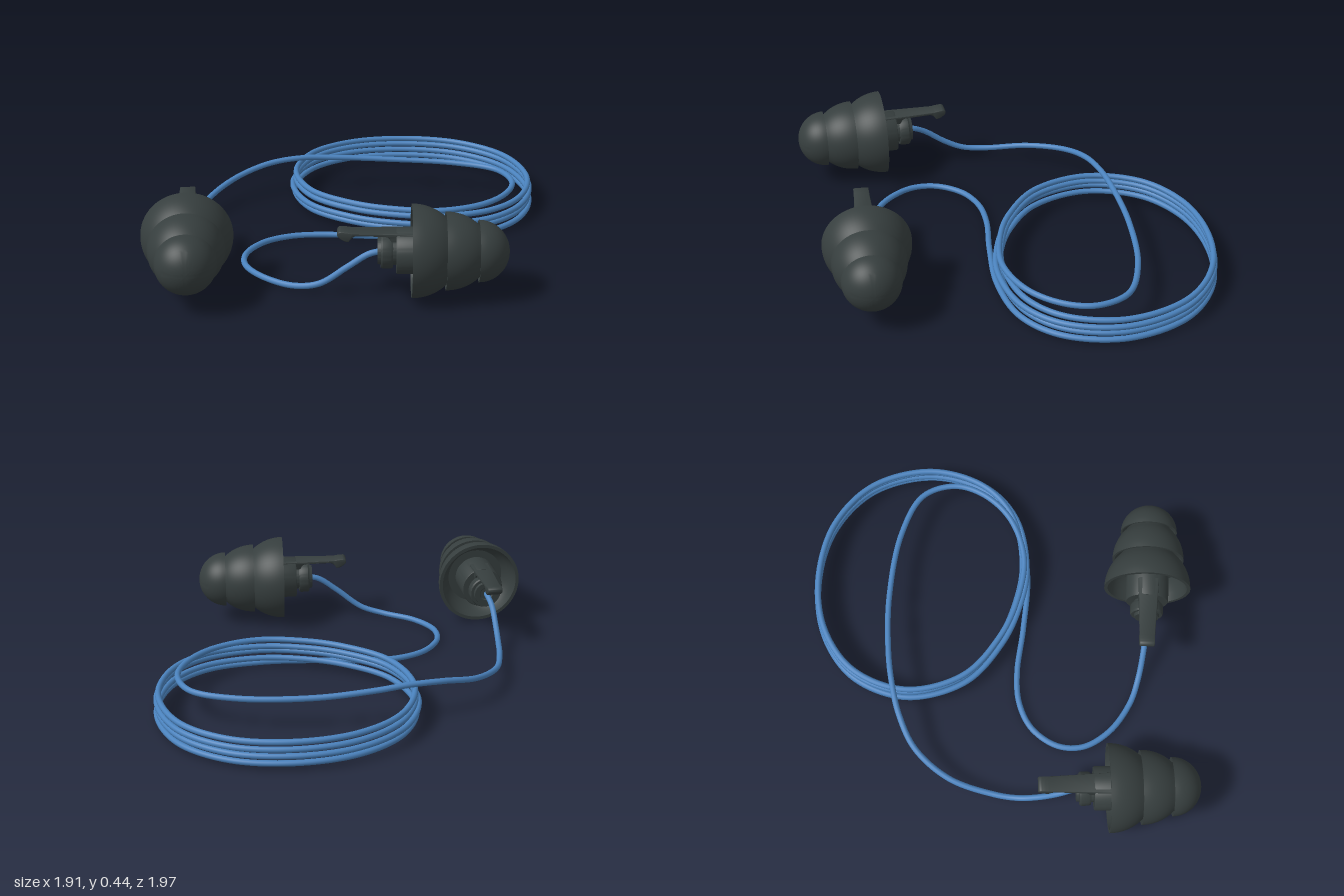
import * as THREE from 'three';
import { toCreasedNormals } from 'three/addons/utils/BufferGeometryUtils.js';

const rubber = new THREE.MeshStandardMaterial({ color: 0x363e3e, side: THREE.DoubleSide });
const blue = new THREE.MeshStandardMaterial({ color: 0x4a82bd });
const CORD_R = 0.0145;

function mesh(name, geometry, material) {
  const m = new THREE.Mesh(geometry, material);
  m.name = name;
  return m;
}

// Lathe whose axis runs along +x; points are [radius, x]
function latheX(points) {
  const g = new THREE.LatheGeometry(points.map(([r, h]) => new THREE.Vector2(r, h)), 64);
  g.rotateZ(-Math.PI / 2);
  return toCreasedNormals(g, 0.55);
}

// Outer curve of one flange, bulging from its lip to its narrow end
function dome(r0, r1, x0, x1, steps = 10) {
  const end = Math.acos(r1 / r0);
  return Array.from({ length: steps + 1 }, (_, i) => {
    const a = end * i / steps;
    return [Math.max(r0 * Math.cos(a), 0), x0 + (x1 - x0) * Math.sin(a) / Math.sin(end)];
  });
}

// Earplug pointing along +x, with its widest lip at x = 0
function createPlug(name) {
  const plug = new THREE.Group();
  plug.name = name;

  // Three flanges in one skin, the rear one hollow like a bell
  plug.add(mesh('flanges', latheX([
    [0.1, 0.1], [0.145, 0.1], [0.172, 0.075], [0.19, 0.04], [0.198, 0],
    ...dome(0.215, 0.155, 0, 0.156),
    [0.14, 0.175], [0.168, 0.155],
    ...dome(0.179, 0.12, 0.155, 0.306),
    [0.11, 0.32], [0.134, 0.305],
    ...dome(0.142, 0, 0.305, 0.445, 16),
  ]), rubber));

  // Core and the stepped collar round the cord
  plug.add(mesh('stem', latheX([
    [0, -0.15], [0.03, -0.15], [0.035, -0.155], [0.06, -0.155], [0.063, -0.14],
    [0.077, -0.14], [0.082, -0.132], [0.082, -0.095], [0.076, -0.085], [0.064, -0.085],
    [0.064, -0.07], [0.103, -0.07], [0.106, -0.065], [0.106, 0.1],
  ]), rubber));

  // Pull tab with a thickened grip, widening towards the plug
  const side = new THREE.Shape();
  side.moveTo(0.02, 0.101);
  side.lineTo(-0.27, 0.101);
  side.quadraticCurveTo(-0.3, 0.108, -0.325, 0.108);
  side.quadraticCurveTo(-0.345, 0.1, -0.335, 0.082);
  side.quadraticCurveTo(-0.31, 0.056, -0.285, 0.058);
  side.quadraticCurveTo(-0.27, 0.085, -0.25, 0.087);
  side.lineTo(-0.12, 0.087);
  side.quadraticCurveTo(-0.1, 0.085, -0.095, 0.06);
  side.lineTo(0.02, 0.06);
  const tab = new THREE.ExtrudeGeometry(side, {
    depth: 0.066, bevelEnabled: true, bevelSize: 0.004, bevelThickness: 0.006,
    bevelOffset: -0.004, bevelSegments: 3, curveSegments: 8,
  });
  tab.translate(0, 0, -0.033);
  const p = tab.attributes.position;
  for (let i = 0; i < p.count; i++) {
    const t = THREE.MathUtils.smoothstep(p.getX(i), -0.34, 0);
    p.setZ(i, p.getZ(i) * (0.95 + 0.35 * t));
  }
  plug.add(mesh('pullTab', toCreasedNormals(tab, 0.7), rubber));
  return plug;
}

// Path of the cord: first lead, four stacked turns, second lead
function cordPath() {
  const points = [
    [0.17, 0.222, 0.71], [0.1, 0.208, 0.712], [0, 0.14, 0.708], [-0.13, 0.045, 0.69],
    [-0.25, 0.016, 0.655], [-0.4, 0.015, 0.56], [-0.49, 0.015, 0.43], [-0.492, 0.015, 0.3],
    [-0.41, 0.015, 0.17], [-0.28, 0.015, 0.1], [-0.12, 0.015, 0.081], [0.12, 0.015, 0.1],
  ];
  const loop = [
    [0.42, 0.105], [0.7, 0.035], [0.87, -0.13], [0.94, -0.42], [0.835, -0.73],
    [0.6, -0.915], [0.3, -0.972], [0, -0.915], [-0.22, -0.745], [-0.312, -0.46],
    [-0.215, -0.17], [0, 0], [0.2, 0.077],
  ];
  // Each turn is drawn in by its own small amount
  const shrink = [0, 0.035, 0.005, 0.045, 0.03];
  for (let turn = 0; turn < 4; turn++) {
    loop.forEach(([x, z], i) => {
      const t = i / loop.length;
      const s = 1 - THREE.MathUtils.lerp(shrink[turn], shrink[turn + 1], t);
      points.push([0.6 + (x - 0.6) * s, 0.015 + 0.0335 * (turn + t), -0.5 + (z + 0.5) * s]);
    });
  }
  points.push(
    [0.45, 0.148, 0.085], [0.67, 0.148, 0], [0.8, 0.148, -0.15], [0.836, 0.148, -0.3],
    [0.77, 0.148, -0.455], [0.55, 0.148, -0.55], [0.2, 0.154, -0.584], [-0.08, 0.17, -0.565],
    [-0.25, 0.18, -0.535], [-0.42, 0.168, -0.485], [-0.58, 0.13, -0.395], [-0.71, 0.09, -0.22],
    [-0.768, 0.06, 0], [-0.782, 0.068, 0.12], [-0.784, 0.115, 0.22], [-0.778, 0.185, 0.32],
    [-0.762, 0.22, 0.39], [-0.757, 0.222, 0.43],
  );
  return new THREE.CatmullRomCurve3(points.map((q) => new THREE.Vector3(...q)), false, 'centripetal');
}

export function createModel() {
  const model = new THREE.Group();
  model.name = 'cordedEarplugs';

  const leftPlug = createPlug('leftPlug');
  leftPlug.position.set(0.29, 0.222, 0.71);

  const rightPlug = createPlug('rightPlug');
  rightPlug.position.set(-0.747, 0.222, 0.55);
  rightPlug.rotation.y = -(Math.PI / 2 - 0.08);

  const cord = mesh('cord', new THREE.TubeGeometry(cordPath(), 900, CORD_R, 12), blue);
  model.add(leftPlug, rightPlug, cord);
  return model;
}
